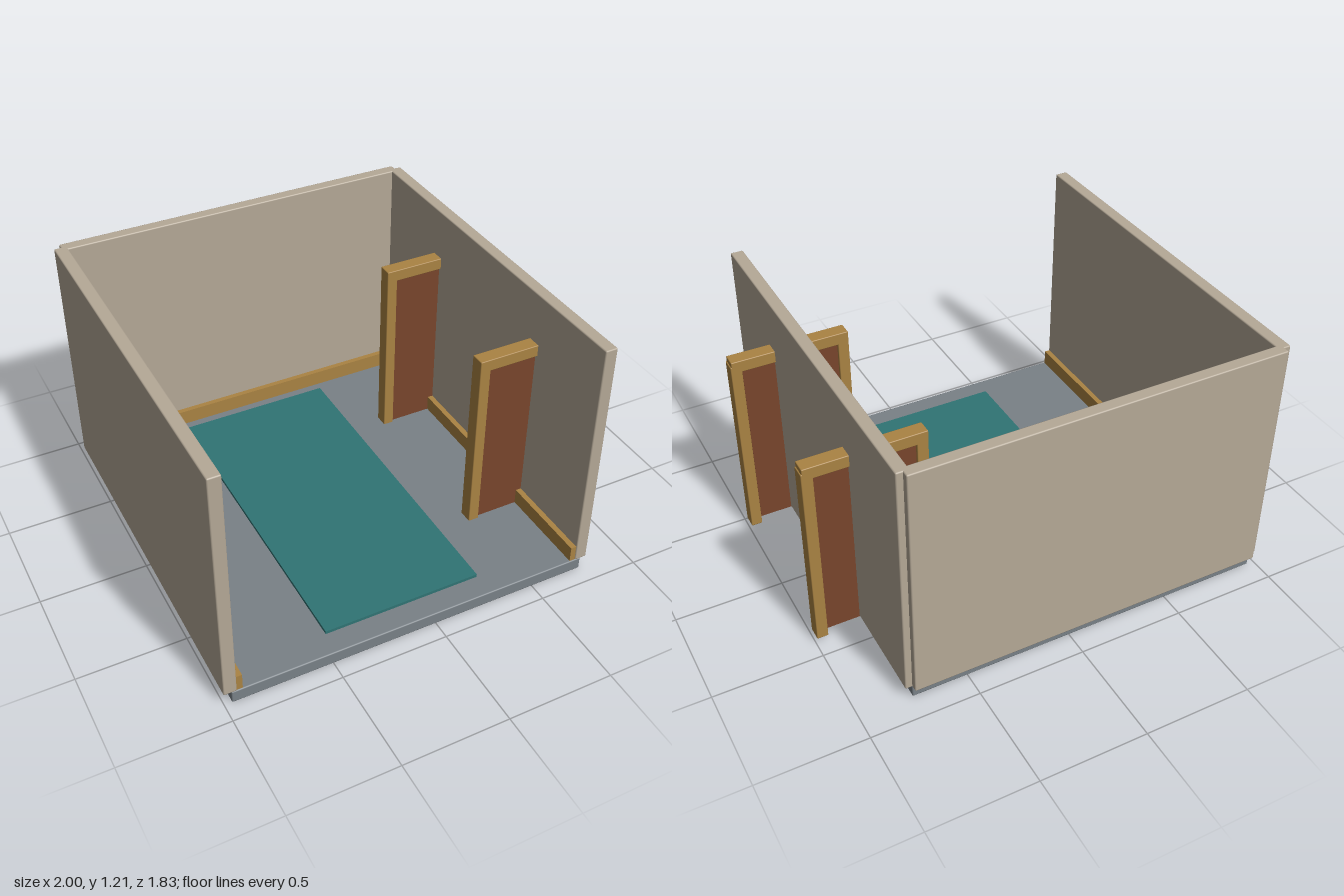
import * as THREE from 'three';
import { RoundedBoxGeometry } from 'three/addons/geometries/RoundedBoxGeometry.js';

const material = (name, color) => {
  const m = new THREE.MeshStandardMaterial({ color });
  m.name = name;
  return m;
};

// Box given by its [min, max] extents, with an optional small edge bevel
function block(name, mat, [x0, x1], [y0, y1], [z0, z1], bevel = 0) {
  const size = [x1 - x0, y1 - y0, z1 - z0];
  const geometry = bevel
    ? new RoundedBoxGeometry(...size, 1, bevel)
    : new THREE.BoxGeometry(...size);
  const mesh = new THREE.Mesh(geometry, mat);
  mesh.name = name;
  mesh.position.set((x0 + x1) / 2, (y0 + y1) / 2, (z0 + z1) / 2);
  return mesh;
}

export function createModel() {
  const plaster = material('plaster', 0xb5a997);
  const stone = material('stone', 0x798187);
  const wood = material('wood', 0xaa8343);
  const doorBrown = material('doorBrown', 0x79452c);
  const teal = material('teal', 0x307474);

  const room = new THREE.Group();
  room.name = 'room';

  // Floor slab and rug
  room.add(block('floor', stone, [-0.965, 0.757], [0, 0.062], [-0.885, 0.913], 0.006));
  room.add(block('rug', teal, [-0.482, 0.273], [0.06, 0.077], [-0.775, 0.802]));

  // Three walls
  const wallY = [0.06, 1.21];
  room.add(block('backWall', plaster, [-0.968, 0.757], wallY, [-0.915, -0.858], 0.006));
  room.add(block('rightWall', plaster, [-1, -0.94], wallY, [-0.885, 0.913], 0.006));
  room.add(block('leftWall', plaster, [0.729, 0.788], wallY, [-0.885, 0.913], 0.006));

  // Skirting boards along the walls
  const trimY = [0.06, 0.138];
  room.add(block('backSkirting', wood, [-0.942, 0.731], trimY, [-0.86, -0.832]));
  room.add(block('rightSkirting', wood, [-0.942, -0.913], trimY, [-0.86, 0.908]));
  room.add(block('leftSkirting', wood, [0.702, 0.731], trimY, [-0.86, 0.908]));

  // Two framed doors standing across the left wall
  for (const z of [-0.393, 0.436]) {
    const door = new THREE.Group();
    door.name = 'door';
    door.position.z = z;
    const depth = [-0.034, 0.034];
    door.add(block('innerPost', wood, [0.437, 0.489], [0.03, 0.945], depth, 0.004));
    door.add(block('outerPost', wood, [0.943, 0.995], [0.03, 0.945], depth, 0.004));
    door.add(block('header', wood, [0.437, 0.99], [0.912, 0.97], depth, 0.004));
    door.add(block('panel', doorBrown, [0.487, 0.94], [0.06, 0.907], [-0.02, 0.02]));

    // Small faceted knob on the front face
    const knobShape = new THREE.CylinderGeometry(0.015, 0.015, 0.04, 6).rotateX(Math.PI / 2);
    const knob = new THREE.Mesh(knobShape, wood);
    knob.name = 'knob';
    knob.position.set(0.858, 0.438, 0.036);
    door.add(knob);
    room.add(door);
  }
  return room;
}
